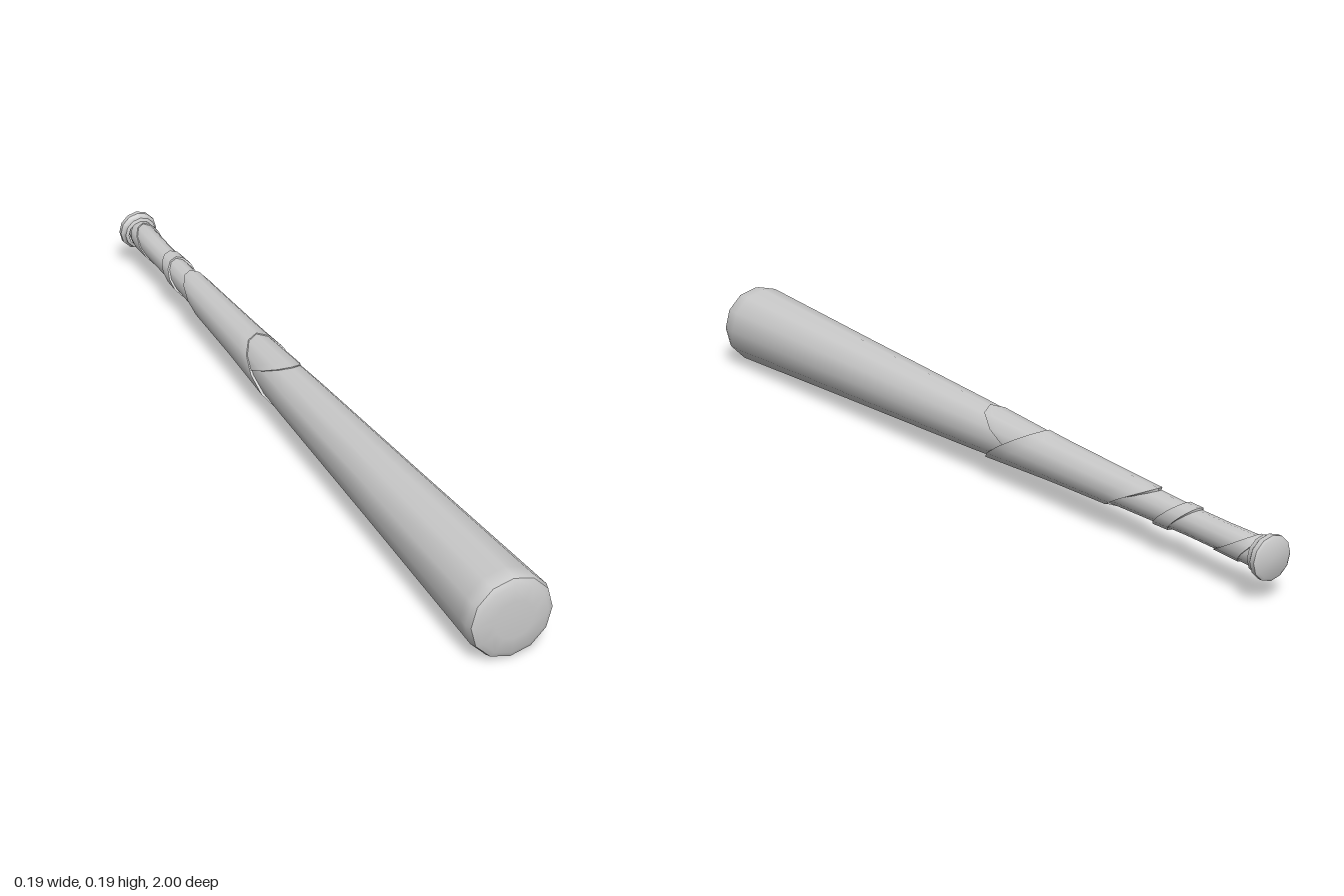
import * as THREE from 'three';
import { toCreasedNormals } from 'three/addons/utils/BufferGeometryUtils.js';

const SIDES = 12;
const AXIS_Y = 0.0975;
const material = new THREE.MeshStandardMaterial({ color: 0xcccccc, side: THREE.DoubleSide });

// Bat outline as [radius, z], from the handle to the tip
const outline = [
  [0.028, -0.98], [0.033, -0.95], [0.031, -0.85], [0.031, -0.75], [0.036, -0.55],
  [0.044, -0.3], [0.059, 0], [0.078, 0.5], [0.0965, 0.95], [0.0975, 0.975], [0.093, 0.99],
];

function radiusAt(z) {
  for (let i = 1; i < outline.length; i++) {
    const [r0, z0] = outline[i - 1], [r1, z1] = outline[i];
    if (z <= z1) return THREE.MathUtils.mapLinear(Math.max(z, z0), z0, z1, r0, r1);
  }
  return outline.at(-1)[0];
}

function addMesh(group, name, geometry, crease = 0.7) {
  const mesh = new THREE.Mesh(toCreasedNormals(geometry, crease), material);
  mesh.name = name;
  group.add(mesh);
}

// Turned part whose axis runs along z
function turned(points) {
  return new THREE.LatheGeometry(points.map(([r, z]) => new THREE.Vector2(r, z)), SIDES)
    .rotateX(Math.PI / 2);
}

// Slanted sleeve; front and back edges are given as [z at top, z at bottom]
function sleeve(front, back, thickness) {
  const rows = 10;
  const geometry = new THREE.PlaneGeometry(1, 1, SIDES, rows);
  const pos = geometry.attributes.position;
  for (let i = 0; i < pos.count; i++) {
    const column = i % (SIDES + 1), row = Math.floor(i / (SIDES + 1));
    const angle = -column / SIDES * Math.PI * 2;
    const drop = (1 - Math.cos(angle)) / 2;
    const zFront = THREE.MathUtils.lerp(front[0], front[1], drop);
    const zBack = THREE.MathUtils.lerp(back[0], back[1], drop);
    // First and last rows are tucked under to close the edges
    const t = THREE.MathUtils.clamp((row - 1) / (rows - 2), 0, 1);
    const z = THREE.MathUtils.lerp(zFront, zBack, t);
    const r = radiusAt(z) + (row === 0 || row === rows ? -0.002 : thickness);
    pos.setXYZ(i, r * Math.sin(angle), r * Math.cos(angle), z);
  }
  return geometry;
}

export function createModel() {
  const bat = new THREE.Group();
  bat.name = 'bat';
  bat.position.y = AXIS_Y;

  // Tapered body with a softly domed tip
  addMesh(bat, 'body', turned([...outline, [0.08, 0.997], [0.045, 1], [0, 1]]));

  // Stepped knob at the end of the handle
  addMesh(bat, 'knob', turned([
    [0, -1], [0.043, -1], [0.049, -0.996], [0.049, -0.984], [0.043, -0.978],
    [0.042, -0.968], [0.034, -0.965],
  ]));

  // Overlapping grip wraps, slanting opposite ways around the handle
  const wraps = [
    ['upperWrap', [-0.04, -0.3], [-0.3, -0.52], 0.003],
    ['lowerWrap', [-0.24, -0.05], [-0.64, -0.48], 0.006],
    ['narrowWrap', [-0.73, -0.64], [-0.77, -0.69], 0.005],
    ['handleWrap', [-0.95, -0.83], [-0.975, -0.91], 0.003],
  ];
  for (const [name, front, back, thickness] of wraps) {
    addMesh(bat, name, sleeve(front, back, thickness));
  }

  const model = new THREE.Group();
  model.name = 'model';
  model.add(bat);
  return model;
}
